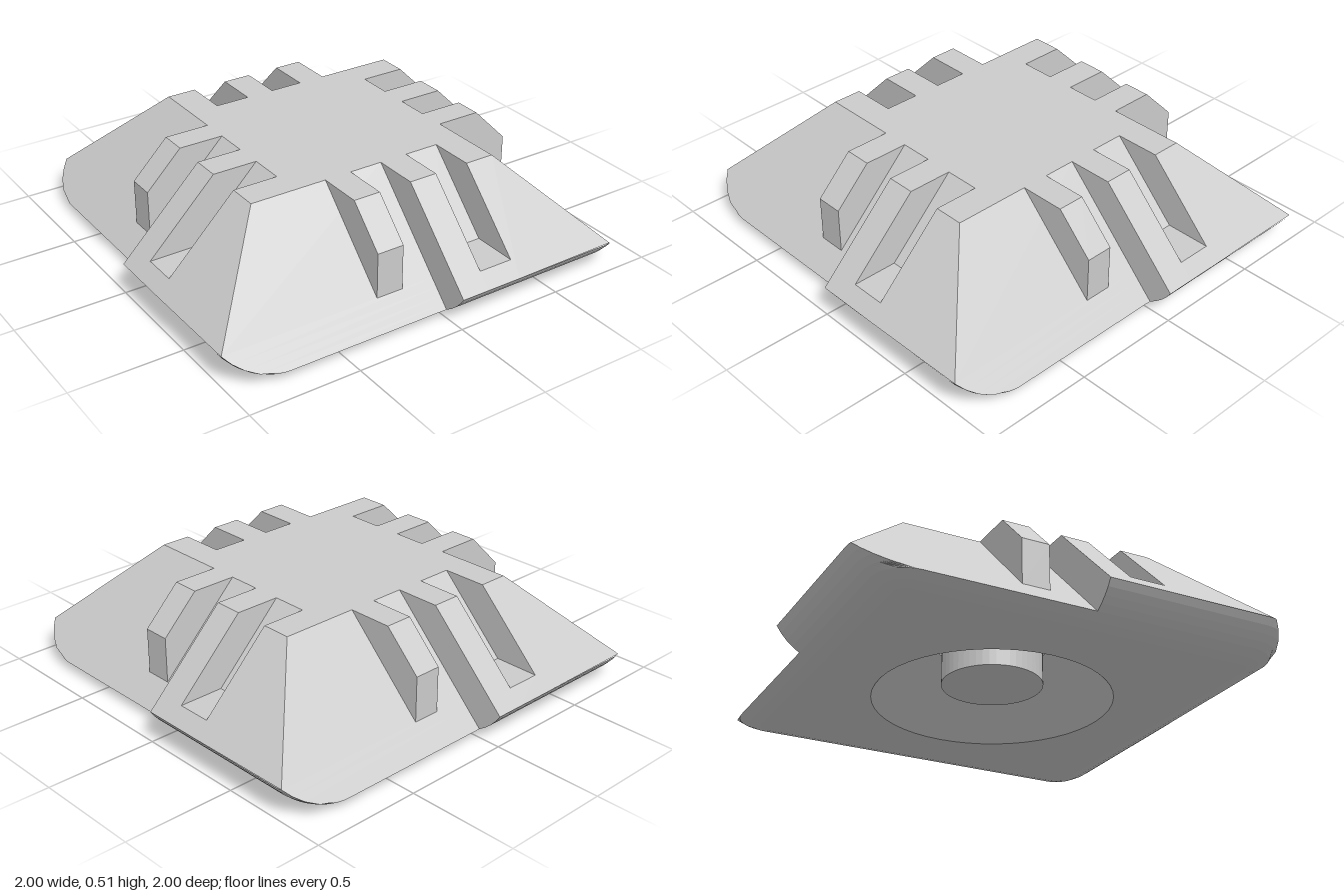
import * as THREE from 'three';

const TOP = 0.51, LIP = 0.14;          // top face and widest level
const OUT = 1.14, IN = 0.935;          // raised slope: z + y = OUT, recessed slope: z + y = IN
const C = 0.75;                        // half width of the flat underside
const R = ((1 - C) ** 2 + LIP ** 2) / (2 * LIP);   // radius of the rounded lower edge
const SLOT = [0.13, 0.29], SHELF = 0.2;

const material = new THREE.MeshStandardMaterial({ color: 0xcccccc, flatShading: true });
const spread = (y) => Math.sqrt(Math.max(0, 2 * R * y - y * y));

function createQuarterGeometry() {
  const pos = [];
  // convex polygon, corners counter-clockwise from outside
  const poly = (...p) => {
    for (let i = 1; i < p.length - 1; i++) pos.push(...p[0], ...p[i], ...p[i + 1]);
  };
  const raised = (x, y) => [x, y, OUT - y];
  const sunk = (x, y) => [x, y, IN - y];

  // levels of the rounded edge, one of them where it meets the recessed slope
  const k = IN - C;
  const yMeet = (R + k - Math.sqrt((R + k) ** 2 - 2 * k * k)) / 2;
  const angle = (y) => Math.acos(1 - y / R);
  const levels = [];
  for (let i = 0; i <= 3; i++) levels.push(R * (1 - Math.cos((angle(yMeet) * i) / 3)));
  for (let i = 1; i <= 4; i++) {
    levels.push(R * (1 - Math.cos(THREE.MathUtils.lerp(angle(yMeet), angle(LIP), i / 4))));
  }

  // rounded edge and ball corner, cut off by the recessed slope
  const steps = 10;
  const rings = levels.map((y) => {
    const s = spread(y);
    const end = s > 0 ? Math.asin(Math.min(1, (IN - y - C) / s)) : Math.PI / 2;
    const ring = [[0, y, C + s]];
    for (let i = 0; i <= steps; i++) {
      const a = (end * i) / steps;
      ring.push([C + s * Math.sin(a), y, C + s * Math.cos(a)]);
    }
    ring.push([ring[steps + 1][0], y, 0]);
    return ring;
  });
  for (let j = 0; j < rings.length - 1; j++) {
    for (let i = 0; i < rings[j].length - 1; i++) {
      poly(rings[j][i], rings[j][i + 1], rings[j + 1][i + 1], rings[j + 1][i]);
    }
  }

  // raised slope around the slot
  const [a, b] = SLOT, m = IN - TOP, n = OUT - TOP;
  const corner = rings[rings.length - 1][steps + 1];
  poly(raised(0, LIP), raised(a, LIP), raised(a, TOP), raised(0, TOP));
  poly(raised(a, LIP), raised(b, LIP), raised(b, SHELF), raised(a, SHELF));
  poly(raised(b, LIP), corner, raised(m, TOP), raised(b, TOP));

  // slot floor, shelf and side walls
  poly(sunk(a, SHELF), sunk(b, SHELF), sunk(b, TOP), sunk(a, TOP));
  poly(raised(a, SHELF), raised(b, SHELF), sunk(b, SHELF), sunk(a, SHELF));
  poly(sunk(a, SHELF), sunk(a, TOP), raised(a, TOP), raised(a, SHELF));
  poly(raised(b, SHELF), raised(b, TOP), sunk(b, TOP), sunk(b, SHELF));

  // recessed slope on the neighbouring side
  poly(corner, [corner[0], LIP, 0], [m, TOP, 0], [m, TOP, n]);

  // top strips beside the slot and a quarter of the top square
  poly([0, TOP, n], [a, TOP, n], [a, TOP, m], [0, TOP, m]);
  poly([b, TOP, n], [m, TOP, n], [m, TOP, m], [b, TOP, m]);
  poly([0, TOP, m], [m, TOP, m], [m, TOP, 0], [0, TOP, 0]);

  // step wall between the recessed and raised halves
  const edge = levels.filter((y) => y >= yMeet - 1e-6).map((y) => [0, y, C + spread(y)]);
  poly([0, TOP, m], ...edge, [0, TOP, n]);

  const g = new THREE.BufferGeometry();
  g.setAttribute('position', new THREE.Float32BufferAttribute(pos, 3));
  g.computeVertexNormals();
  return g;
}

// rib standing on the recessed slope
function createRibGeometry() {
  const tip = IN - LIP;
  const shape = new THREE.Shape([
    [IN - TOP, TOP], [tip, LIP], [tip, OUT - tip], [OUT - TOP, TOP],
  ].map((p) => new THREE.Vector2(...p)));
  const g = new THREE.ExtrudeGeometry(shape, { depth: 0.125, bevelEnabled: false });
  return g.rotateY(-Math.PI / 2).translate(-0.152, 0, 0);
}

export function createModel() {
  const model = new THREE.Group();
  model.name = 'pad';
  const add = (parent, name, geometry, mat = material) => {
    const mesh = new THREE.Mesh(geometry, mat);
    mesh.name = name;
    parent.add(mesh);
  };

  // four identical quarters turned about the vertical axis
  const quarter = createQuarterGeometry(), rib = createRibGeometry();
  for (let i = 0; i < 4; i++) {
    const side = new THREE.Group();
    side.name = `side${i + 1}`;
    side.rotation.y = (i * Math.PI) / 2;
    add(side, 'slottedQuarter', quarter);
    add(side, 'rib', rib);
    model.add(side);
  }

  // flat underside with a round opening
  const base = new THREE.Shape([[-C, -C], [C, -C], [C, C], [-C, C]].map((p) => new THREE.Vector2(...p)));
  base.holes.push(new THREE.Path().absarc(0, 0, 0.53, 0, Math.PI * 2, true));
  add(model, 'underside', new THREE.ShapeGeometry(base, 24).rotateX(Math.PI / 2));

  // countersunk socket with a central pin
  const profile = [[0, 0.07], [0.225, 0.07], [0.225, 0.42], [0.26, 0.42], [0.26, 0.27], [0.53, 0]];
  const socketMaterial = material.clone();
  socketMaterial.side = THREE.DoubleSide;
  add(model, 'socketAndPin',
    new THREE.LatheGeometry(profile.map((p) => new THREE.Vector2(...p)), 48), socketMaterial);

  return model;
}
